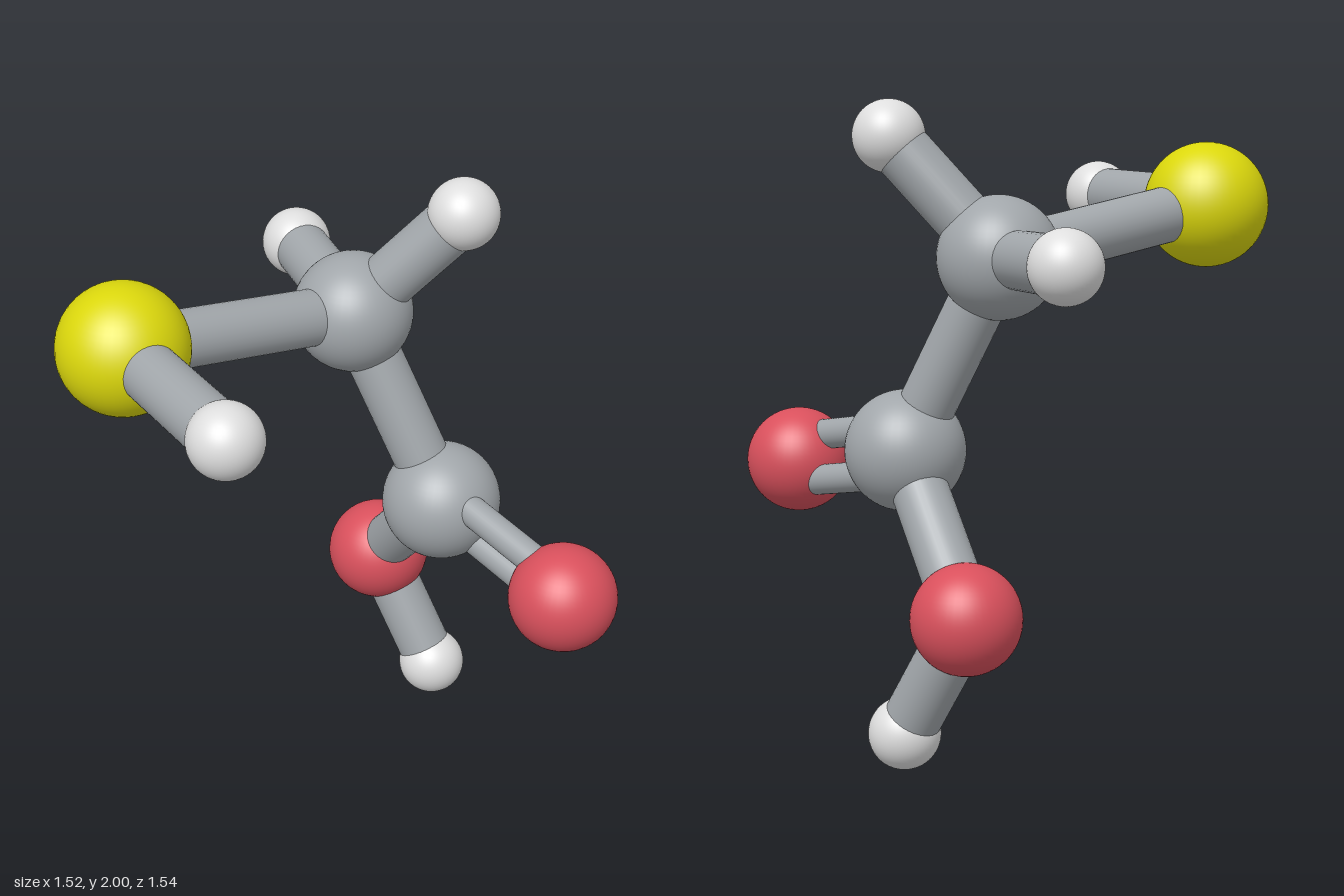
import * as THREE from 'three';

export function createModel() {
  const model = new THREE.Group();
  model.name = 'molecule';
  const mat = (name, color) => {
    const m = new THREE.MeshStandardMaterial({ color });
    m.name = name;
    return m;
  };
  const grey = mat('carbon grey', 0xa1a6aa);
  const red = mat('oxygen red', 0xd9505c);
  const yellow = mat('sulfur yellow', 0xdbd70c);
  const white = mat('hydrogen white', 0xdedede);

  // Atoms: position, radius, colour
  const atoms = {
    sulfur: [[-0.566, 1.665, -0.003], 0.198, yellow],
    thiolHydrogen: [[-0.502, 1.677, 0.604], 0.11, white],
    upperCarbon: [[0.242, 1.532, -0.162], 0.187, grey],
    topHydrogen: [[0.512, 1.89, 0.028], 0.11, white],
    backHydrogen: [[0.276, 1.538, -0.66], 0.11, white],
    lowerCarbon: [[0.442, 0.934, 0.085], 0.187, grey],
    doubleOxygen: [[0.593, 0.844, 0.602], 0.167, red],
    hydroxylOxygen: [[0.436, 0.49, -0.338], 0.167, red],
    hydroxylHydrogen: [[0.55, 0.113, -0.14], 0.11, white],
  };
  for (const [name, [p, r, material]] of Object.entries(atoms)) {
    const ball = new THREE.Mesh(new THREE.SphereGeometry(r, 48, 32), material);
    ball.name = name;
    ball.position.set(...p);
    model.add(ball);
  }

  // A rod running between the centres of two atoms, optionally shifted sideways
  const up = new THREE.Vector3(0, 1, 0);
  function bond(name, from, to, radius = 0.088, shift = new THREE.Vector3()) {
    const a = new THREE.Vector3(...atoms[from][0]);
    const b = new THREE.Vector3(...atoms[to][0]);
    const dir = b.clone().sub(a);
    const rod = new THREE.Mesh(new THREE.CylinderGeometry(radius, radius, dir.length(), 32), grey);
    rod.name = name;
    rod.position.copy(a).add(b).multiplyScalar(0.5).add(shift);
    rod.quaternion.setFromUnitVectors(up, dir.normalize());
    model.add(rod);
  }

  // Single bonds
  for (const [from, to] of [
    ['sulfur', 'thiolHydrogen'],
    ['sulfur', 'upperCarbon'],
    ['upperCarbon', 'topHydrogen'],
    ['upperCarbon', 'backHydrogen'],
    ['upperCarbon', 'lowerCarbon'],
    ['lowerCarbon', 'hydroxylOxygen'],
    ['hydroxylOxygen', 'hydroxylHydrogen'],
  ]) bond(`${from} to ${to} bond`, from, to);

  // Double bond: two thin parallel rods
  for (const s of [1, -1]) {
    bond(s > 0 ? 'upperDoubleBond' : 'lowerDoubleBond', 'lowerCarbon', 'doubleOxygen', 0.048,
      new THREE.Vector3(-0.019, 0.07, 0.018).multiplyScalar(s));
  }
  return model;
}
